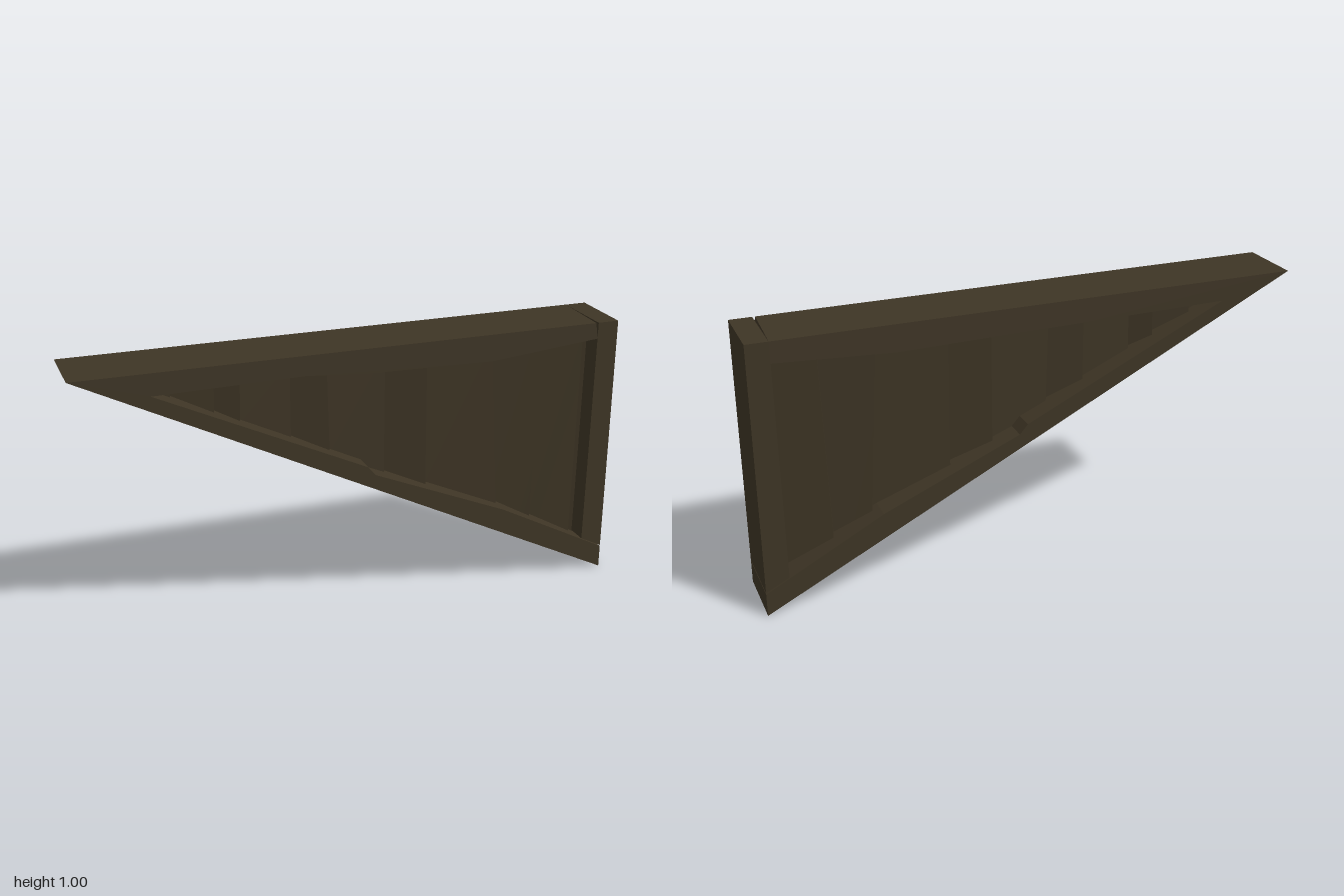
import * as THREE from 'three';

const DEPTH = 0.25;

export function createModel() {
  const group = new THREE.Group();
  const wood = new THREE.MeshStandardMaterial({ color: 0x3e3525 });
  wood.name = 'dark brown wood';

  function add(name, geometry) {
    const mesh = new THREE.Mesh(geometry, wood);
    mesh.name = name;
    group.add(mesh);
  }

  // Frame beam: outline extruded through the depth, then bent by an optional rule
  function beam(name, points, bend) {
    const shape = new THREE.Shape(points.map(([x, y]) => new THREE.Vector2(x, y)));
    const geometry = new THREE.ExtrudeGeometry(shape, { depth: DEPTH, bevelEnabled: false });
    geometry.translate(0, 0, -DEPTH / 2);
    if (bend) {
      const p = geometry.attributes.position;
      for (let i = 0; i < p.count; i++) {
        const [x, y] = bend(p.getX(i), p.getY(i), p.getZ(i));
        p.setXY(i, x, y);
      }
      geometry.computeVertexNormals();
    }
    add(name, geometry);
  }

  // Top beam, with a hewn underside that hangs lower at the back and a chipped end
  beam('topBeam', [
    [-1, 1], [-0.73, 0.92], [-0.2, 0.928], [0.05, 0.91], [0.5, 0.901], [0.92, 0.94], [0.92, 1],
  ], (x, y, z) => {
    if (z < 0 && y < 0.99 && (x > 0.9 || Math.abs(x + 0.2) < 0.01)) return [x, y - 0.016];
    if (z > 0 && x > 0.9 && y > 0.99) return [x - 0.01, y];
    return [x, y];
  });

  // Sloping brace with an uneven inner edge
  beam('slopingBeam', [
    [-1, 1], [1, 0], [1, 0.085], [0.915, 0.13], [0.57, 0.31], [0.06, 0.525],
    [0.03, 0.56], [-0.73, 0.92],
  ]);

  // Upright post, leaving a fine joint above the brace
  beam('post', [[0.915, 0.133], [1, 0.09], [1, 1], [0.92, 1]]);

  // Boards between the beams: seams [top x, bottom x] and the twist of each board
  const seams = [
    [-0.78, -0.78], [-0.64, -0.64], [-0.49, -0.495], [-0.4, -0.405], [-0.22, -0.22],
    [-0.09, -0.08], [0.13, 0.13], [0.285, 0.29], [0.54, 0.585], [0.745, 0.725],
    [0.905, 0.9], [0.96, 0.96],
  ];
  const twists = [0.006, 0.016, 0.016, 0.005, 0.015, 0.006, 0.018, 0.016, 0.016, 0.018, 0.01];
  for (let n = 0; n < twists.length; n++) {
    const geometry = new THREE.BoxGeometry(1, 1, 1);
    const p = geometry.attributes.position;
    for (let i = 0; i < p.count; i++) {
      const side = Math.sign(p.getX(i));
      const front = Math.sign(p.getZ(i));
      const top = p.getY(i) > 0;
      const x = seams[side > 0 ? n + 1 : n][top ? 0 : 1] - front * 0.012;
      const y = top ? 0.955 : 0.54 - 0.5 * x;
      p.setXYZ(i, x, y, front * 0.047 + side * twists[n]);
    }
    geometry.computeVertexNormals();
    add('board' + (n + 1), geometry);
  }

  return group;
}
